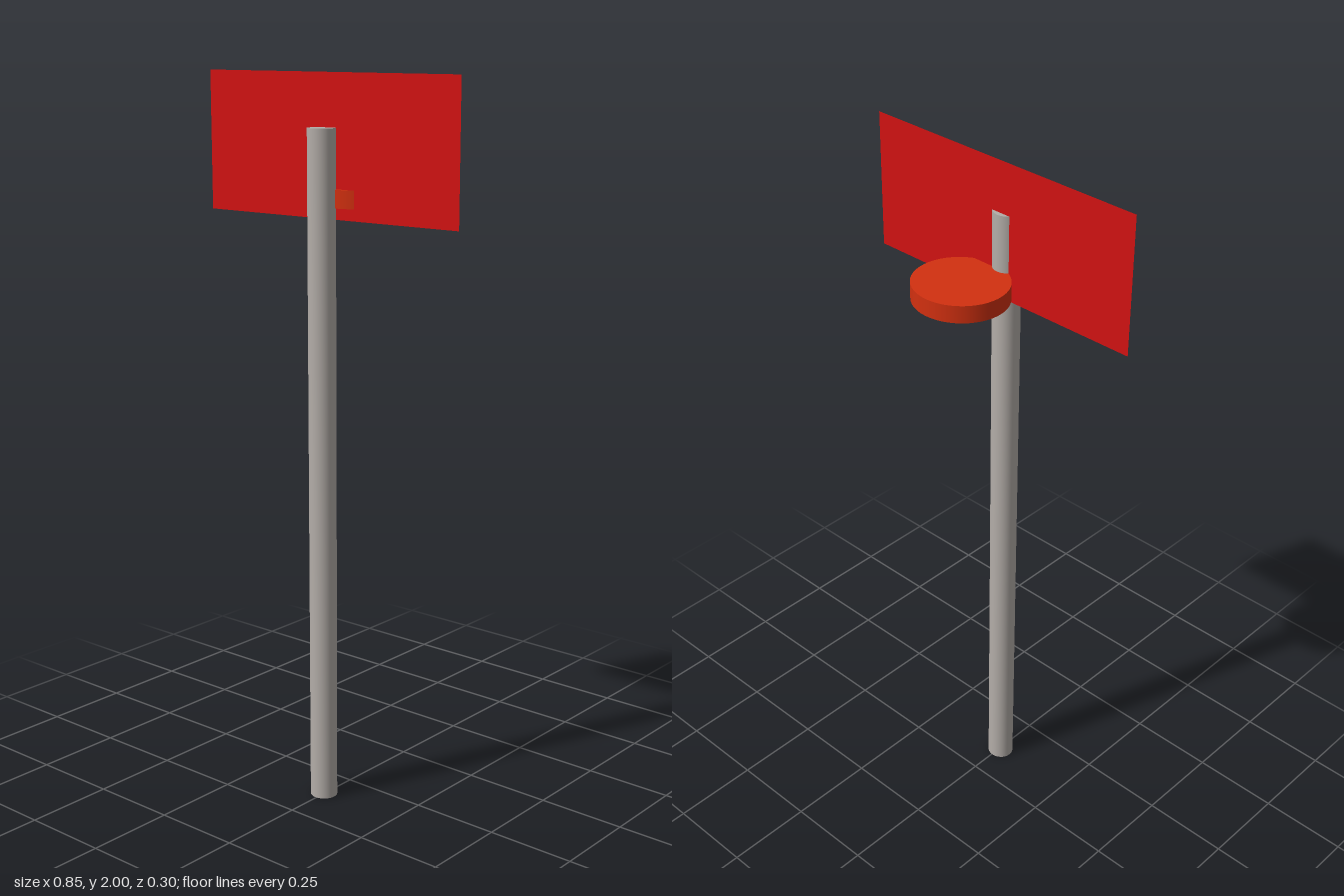
import * as THREE from 'three';

const paint = (color, side = THREE.FrontSide) => new THREE.MeshStandardMaterial({ color, side });

// Upright, slightly oval cylinder between two heights
function ovalPost(name, color, x, z, rx, rz, y0, y1) {
  const geometry = new THREE.CylinderGeometry(1, 1, y1 - y0, 48);
  geometry.scale(rx, 1, rz);
  const mesh = new THREE.Mesh(geometry, paint(color));
  mesh.name = name;
  mesh.position.set(x, (y0 + y1) / 2, z);
  return mesh;
}

export function createModel() {
  const model = new THREE.Group();
  model.name = 'signPost';

  // Tall pole standing on the ground
  model.add(ovalPost('pole', 0xb3ada8, -0.003, 0.111, 0.038, 0.037, 0, 1.86));

  // Flat disc set through the board, mostly behind it
  model.add(ovalPost('disc', 0xd23010, 0.028, -0.024, 0.129, 0.125, 1.655, 1.703));

  // Paper-thin board cutting through the pole
  const board = new THREE.Mesh(
    new THREE.PlaneGeometry(0.847, 0.376),
    paint(0xd21212, THREE.DoubleSide)
  );
  board.name = 'board';
  board.position.set(0, 1.812, 0.087);
  model.add(board);

  return model;
}
